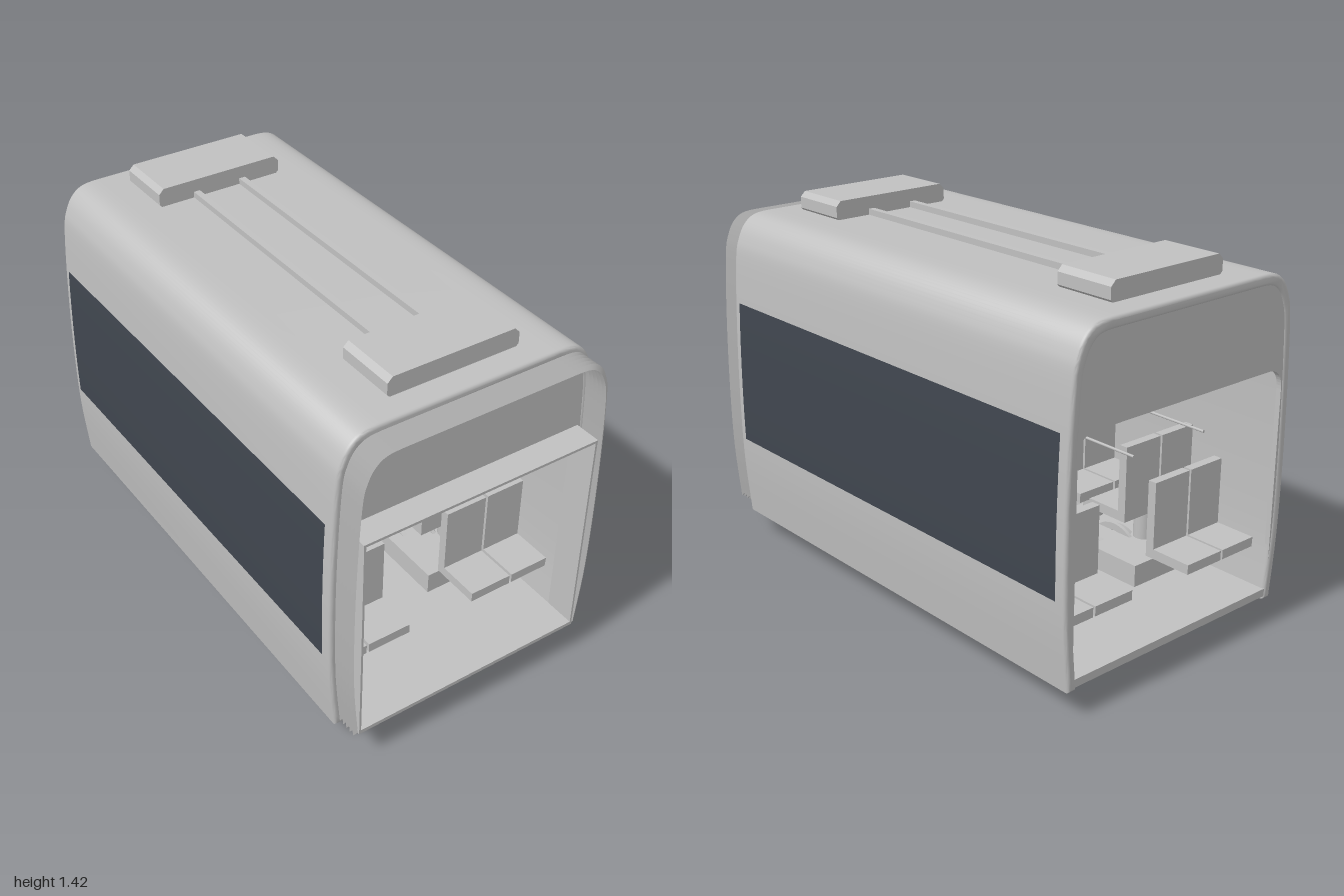
import * as THREE from 'three';
import { toCreasedNormals } from 'three/addons/utils/BufferGeometryUtils.js';

const MID = -0.05; // centre of the car body along z

export function createModel() {
  const model = new THREE.Group();
  model.name = 'railCarSection';
  const body = new THREE.MeshStandardMaterial({ color: 0xc0c0c0 });
  body.name = 'light grey';
  const bodyOpen = body;
  bodyOpen.side = THREE.DoubleSide;
  const glass = new THREE.MeshStandardMaterial({ color: 0x40464f, side: THREE.DoubleSide });
  glass.name = 'dark glass';

  const add = (name, geo, mat = body, x = 0, y = 0, z = 0, parent = model) => {
    const mesh = new THREE.Mesh(geo, mat);
    mesh.name = name;
    mesh.position.set(x, y, z);
    parent.add(mesh);
    return mesh;
  };
  // Box given by its limits on each axis
  const box = (name, x0, x1, y0, y1, z0, z1, mat = body, parent = model) =>
    add(name, new THREE.BoxGeometry(x1 - x0, y1 - y0, z1 - z0), mat,
      (x0 + x1) / 2, (y0 + y1) / 2, (z0 + z1) / 2, parent);
  const xCylinder = (name, r, length, x, y, z, sides = 24) =>
    add(name, toCreasedNormals(new THREE.CylinderGeometry(r, r, length, sides).rotateZ(Math.PI / 2), 0.7), body, x, y, z);

  // Body cross-section: right half from sill to roof
  const half = new THREE.SplineCurve([
    [0.51, 0.12], [0.53, 0.35], [0.535, 0.6], [0.53, 0.9], [0.515, 1.18],
    [0.496, 1.27], [0.462, 1.325], [0.41, 1.35], [0.3, 1.353],
  ].map(([x, y]) => new THREE.Vector2(x, y))).getPoints(40);
  const arch = [...half, ...half.slice().reverse().map(p => new THREE.Vector2(-p.x, p.y))];
  const scaled = (sx, sy) => arch.map(p => new THREE.Vector2(p.x * sx, 0.12 + (p.y - 0.12) * sy));
  const sideX = y => {
    const i = Math.max(1, half.findIndex(p => p.y >= y));
    const a = half[i - 1], b = half[i];
    return a.x + (b.x - a.x) * (y - a.y) / (b.y - a.y);
  };

  // Shell: hollow arch with softened ends
  const bevel = 0.012;
  const shellShape = new THREE.Shape([...scaled(0.978, 0.99), ...scaled(0.95, 0.975).reverse()]);
  const shell = new THREE.ExtrudeGeometry(shellShape, {
    depth: 1.9 - 2 * bevel, bevelThickness: bevel, bevelSize: bevel, bevelSegments: 3,
  }).translate(0, 0, -1 + bevel);
  add('bodyShell', toCreasedNormals(shell, 0.6));

  // End walls with a round-cornered passage
  const wallShape = new THREE.Shape(scaled(0.985, 0.99));
  const doorway = new THREE.Path();
  const w = 0.49, top = 1.0, r = 0.08;
  doorway.moveTo(-w, 0.15).lineTo(w, 0.15).lineTo(w, top - r)
    .quadraticCurveTo(w, top, w - r, top).lineTo(-w + r, top)
    .quadraticCurveTo(-w, top, -w, top - r).lineTo(-w, 0.15);
  wallShape.holes.push(doorway);
  for (const [name, z] of [['rearEndWall', -0.997], ['frontEndWall', 0.877]]) {
    add(name, new THREE.ExtrudeGeometry(wallShape, { depth: 0.02, bevelEnabled: false }), body, 0, 0, z);
  }
  box('floor', -0.505, 0.505, 0.12, 0.15, -0.99, 0.89);

  // Side windows follow the curve of the wall, outside and inside
  for (const side of [-1, 1]) {
    for (const [name, offset] of [['outerWindow', 0.005], ['innerWindow', -0.034]]) {
      const pane = new THREE.PlaneGeometry(1.82, 0.57, 1, 12).rotateY(side * Math.PI / 2).translate(0, 0.725, MID);
      const pos = pane.attributes.position;
      for (let i = 0; i < pos.count; i++) pos.setX(i, side * (sideX(pos.getY(i)) + offset));
      pane.computeVertexNormals();
      add(name, pane, glass);
    }
  }

  // Bellows: zigzag loft of the body outline
  const folds = 5, rows = folds * 2 + 1, verts = [], index = [];
  const loop = [...arch, arch[0]];
  for (let j = 0; j < rows; j++) {
    const s = j % 2 ? 0.975 : 0.95;
    for (const p of loop) verts.push(p.x * s, 0.74 + (p.y - 0.74) * s, 0.9 + 0.1 * j / (rows - 1));
  }
  for (let j = 0; j < rows - 1; j++) {
    for (let i = 0; i < loop.length - 1; i++) {
      const a = j * loop.length + i, b = a + loop.length;
      index.push(a, a + 1, b, a + 1, b + 1, b);
    }
  }
  const bellows = new THREE.BufferGeometry();
  bellows.setAttribute('position', new THREE.Float32BufferAttribute(verts, 3));
  bellows.setIndex(index);
  bellows.computeVertexNormals();
  add('bellows', toCreasedNormals(bellows, 0.6), bodyOpen);

  // Gangway lining inside the bellows
  box('gangwayFloor', -0.48, 0.48, 0.14, 0.155, 0.88, 1);
  box('gangwayCeiling', -0.48, 0.48, 0.99, 1.0, 0.88, 1);
  for (const s of [-1, 1]) box('gangwayWall', s * 0.475 - 0.004, s * 0.475 + 0.004, 0.15, 0.99, 0.88, 1);

  // Roof equipment: chamfered pods joined by two conduits
  const pod = new THREE.Shape();
  [[-0.245, 1.345], [0.245, 1.345], [0.262, 1.362], [0.262, 1.405], [0.242, 1.425], [-0.242, 1.425], [-0.262, 1.405], [-0.262, 1.362]]
    .forEach(([x, y], i) => (i ? pod.lineTo(x, y) : pod.moveTo(x, y)));
  for (const z of [0.56, -0.895]) {
    add('roofPod', new THREE.ExtrudeGeometry(pod, { depth: 0.24, bevelEnabled: false }), body, 0, 0, z);
  }
  for (const x of [-0.102, 0.098]) box('roofConduit', x - 0.013, x + 0.013, 1.34, 1.376, -0.66, 0.57);

  // Pair of seats; dir is the way they face along z
  const seatPair = (side, y, back, dir, depth) => {
    const group = new THREE.Group();
    group.name = 'seatPair';
    model.add(group);
    for (const [a, b] of [[0.14, 0.315], [0.325, 0.49]]) {
      const x0 = Math.min(side * a, side * b), x1 = Math.max(side * a, side * b);
      const span = (p, q) => [Math.min(back + dir * p, back + dir * q), Math.max(back + dir * p, back + dir * q)];
      box('seatCushion', x0, x1, y, y + 0.037, ...span(0, depth), body, group);
      box('seatBack', x0, x1, y + 0.037, y + 0.295, ...span(0, 0.035), body, group);
    }
    return group;
  };

  // Both halves of the car mirror about its middle
  for (const end of [-1, 1]) {
    const at = z => MID + end * z;
    const axleZ = at(0.37);
    for (const side of [-1, 1]) {
      // Wheel housing and seating
      const x0 = side > 0 ? 0.13 : -0.5, z0 = Math.min(at(0.11), at(0.63));
      box('wheelHousing', x0, x0 + 0.37, 0.145, 0.235, z0, z0 + 0.52);
      seatPair(side, 0.29, at(0.67), end, 0.2);
      seatPair(side, 0.38, at(0.56), -end, 0.18);
      seatPair(side, 0.38, at(0.13), end, 0.2);
      for (const z of [0.2, 0.47]) {
        add('seatPedestal', new THREE.CylinderGeometry(0.04, 0.04, 0.15, 20), body, side * 0.343, 0.307, at(z));
      }
      // Wheel with flange, brake disc and axle box
      const wheel = new THREE.LatheGeometry([
        [0, -0.02], [0.09, -0.012], [0.1, -0.022], [0.128, -0.022], [0.128, -0.008],
        [0.117, 0], [0.112, 0.022], [0.095, 0.022], [0.085, 0.008], [0, 0.016],
      ].map(([a, b]) => new THREE.Vector2(a, b)), 32).rotateZ(-side * Math.PI / 2);
      add('wheel', toCreasedNormals(wheel, 0.5), body, side * 0.308, 0.137, axleZ);
      xCylinder('brakeDisc', 0.095, 0.02, side * 0.193, 0.145, axleZ);
      box('axleBox', side * 0.352 - 0.024, side * 0.352 + 0.024, 0.1, 0.135, axleZ - 0.05, axleZ + 0.05);
    }
    xCylinder('axle', 0.018, 0.64, 0, 0.125, axleZ, 16);
    xCylinder('motor', 0.07, 0.29, -0.025, 0.145, at(0.18), 12);
  }

  // Handrails along the aisle
  for (const x of [-0.172, 0.168]) {
    add('handrail', new THREE.CylinderGeometry(0.005, 0.005, 1.76, 10).rotateX(Math.PI / 2), body, x, 0.825, MID);
  }

  // Hanging information screen
  box('screenCase', -0.127, 0.123, 0.88, 0.97, MID - 0.02, MID + 0.02);
  for (const s of [-1, 1]) {
    box('screen', -0.114, 0.11, 0.886, 0.962, MID + s * 0.021 - 0.003, MID + s * 0.021 + 0.003, glass);
  }
  add('screenHanger', new THREE.CylinderGeometry(0.006, 0.006, 0.37, 10), body, -0.002, 1.15, MID);

  return model;
}
